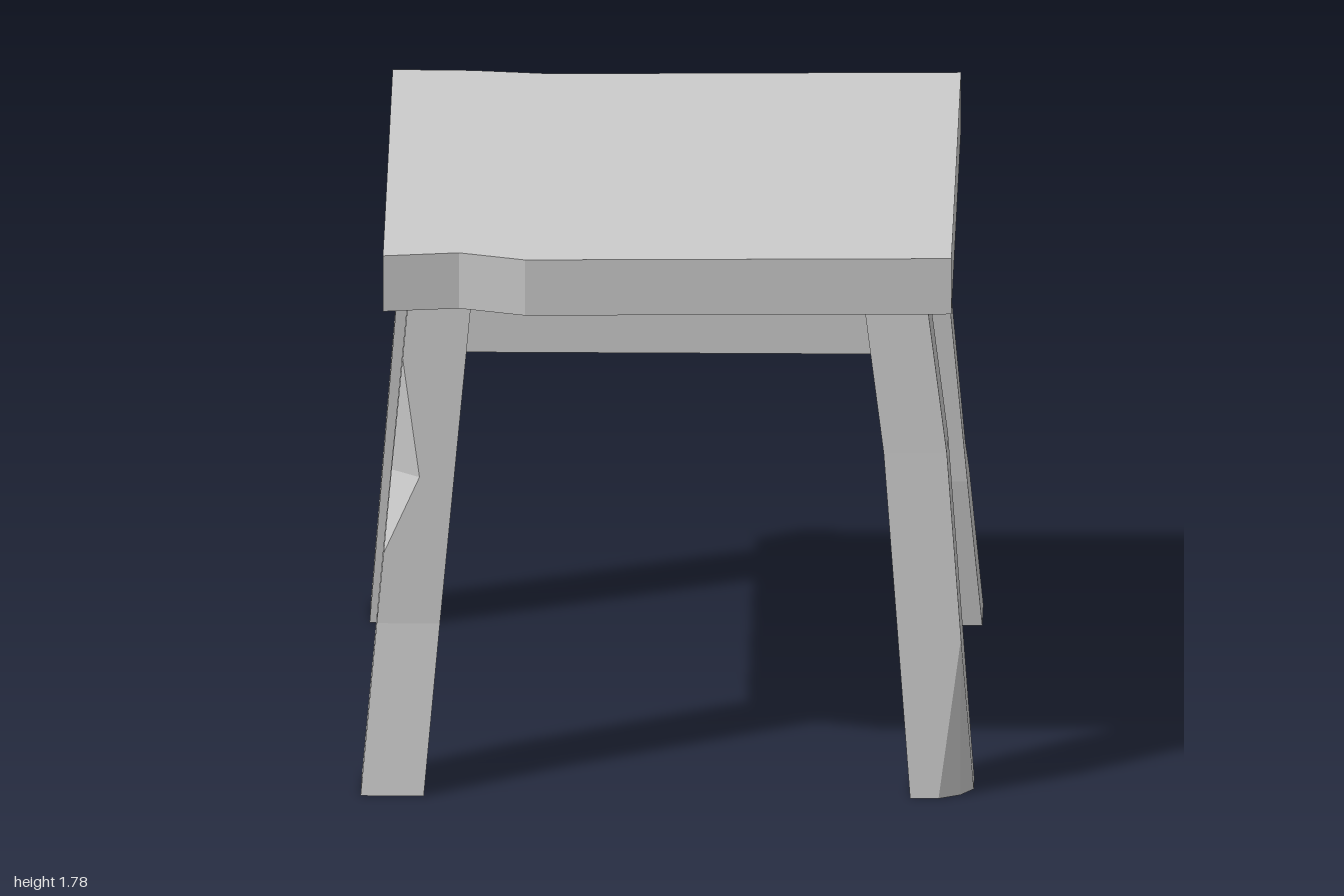
import * as THREE from 'three';

const material = new THREE.MeshStandardMaterial({ color: 0xcccccc, flatShading: true });

// Splayed leg, described in the +x +z quadrant and mirrored by sx, sz.
// bend: [height, outer x, outer z]
// cuts: [height, cut along x, cut along z, roundness] on the outer corner
function makeLeg(name, sx, sz, bend, cuts) {
  const spine = [[0, 0.97, 1.0], bend, [1.62, 0.82, 0.88]];
  const along = (y) => {
    const i = y < bend[0] ? 0 : 1;
    const [a, b] = [spine[i], spine[i + 1]];
    const t = (y - a[0]) / (b[0] - a[0]);
    return [a[1] + (b[1] - a[1]) * t, a[2] + (b[2] - a[2]) * t];
  };
  // Cut size at a height, interpolated between the given levels
  const cutAt = (y) => {
    for (let i = 0; i + 1 < cuts.length; i++) {
      const [a, b] = [cuts[i], cuts[i + 1]];
      if (y >= a[0] && y <= b[0]) {
        const t = (y - a[0]) / (b[0] - a[0]);
        return [1, 2, 3].map((k) => a[k] + (b[k] - a[k]) * t);
      }
    }
    return [0, 0, 0.5];
  };
  const levels = [...new Set([...spine, ...cuts].map((p) => p[0]))].sort((a, b) => a - b);
  const w = 0.2, d = 0.215, n = 6;
  const positions = [], index = [];
  for (const y of levels) {
    const [x, z] = along(y);
    const [cx, cz, r] = cutAt(y);
    const ring = [
      [x - w, z - d], [x - w, z], [x - cx, z],
      [x - cx * r, z - cz * r], [x, z - cz], [x, z - d],
    ];
    for (const [px, pz] of ring) positions.push(sx * px, y, sz * pz);
  }
  const face = (a, b, c) => (sx * sz > 0 ? index.push(a, b, c) : index.push(a, c, b));
  for (let i = 0; i + 1 < levels.length; i++) {
    for (let j = 0; j < n; j++) {
      const a = i * n + j, b = i * n + ((j + 1) % n);
      face(a, b, b + n);
      face(a, b + n, a + n);
    }
  }
  const top = (levels.length - 1) * n;
  for (let j = 1; j + 1 < n; j++) {
    face(0, j + 1, j);
    face(top, top + j, top + j + 1);
  }
  const indexed = new THREE.BufferGeometry();
  indexed.setAttribute('position', new THREE.Float32BufferAttribute(positions, 3));
  indexed.setIndex(index);
  const geometry = indexed.toNonIndexed();
  geometry.computeVertexNormals();
  const leg = new THREE.Mesh(geometry, material);
  leg.name = name;
  return leg;
}

export function createModel() {
  const stool = new THREE.Group();
  stool.name = 'stool';

  // Seat slab with worn front and back edges, outline as x, z
  const outline = [
    [-0.9, 0.955], [-0.66, 0.92], [-0.45, 0.99], [0.9, 0.955],
    [0.9, -0.965], [-0.4, -0.93], [-0.65, -0.96], [-0.9, -0.965],
  ];
  const shape = new THREE.Shape(outline.map(([x, z]) => new THREE.Vector2(x, -z)));
  const seatGeometry = new THREE.ExtrudeGeometry(shape, { depth: 0.185, bevelEnabled: false });
  seatGeometry.rotateX(-Math.PI / 2);
  const seat = new THREE.Mesh(seatGeometry, material);
  seat.name = 'seat';
  seat.position.y = 1.597;
  stool.add(seat);

  // Solid apron block under the seat
  const apron = new THREE.Mesh(new THREE.BoxGeometry(1.48, 0.19, 1.6), material);
  apron.name = 'apron';
  apron.position.y = 1.508;
  stool.add(apron);

  // Legs: one with a rounded foot, two with a chipped corner, one plain
  stool.add(
    makeLeg('frontLeftLeg', 1, 1, [1.12, 0.885, 0.915],
      [[0, 0.11, 0.1, 0.38], [0.52, 0, 0, 0.38]]),
    makeLeg('frontRightLeg', -1, 1, [0.55, 0.92, 0.925],
      [[0.78, 0, 0, 0.5], [1.03, 0.09, 0.08, 0.5], [1.42, 0, 0, 0.5]]),
    makeLeg('backLeftLeg', 1, -1, [0.5, 0.924, 0.935],
      [[0.48, 0, 0, 0.5], [0.59, 0.08, 0.085, 0.5], [0.93, 0.05, 0.05, 0.5], [1.6, 0, 0, 0.5]]),
    makeLeg('backRightLeg', -1, -1, [1.2, 0.875, 0.91], []),
  );
  return stool;
}
